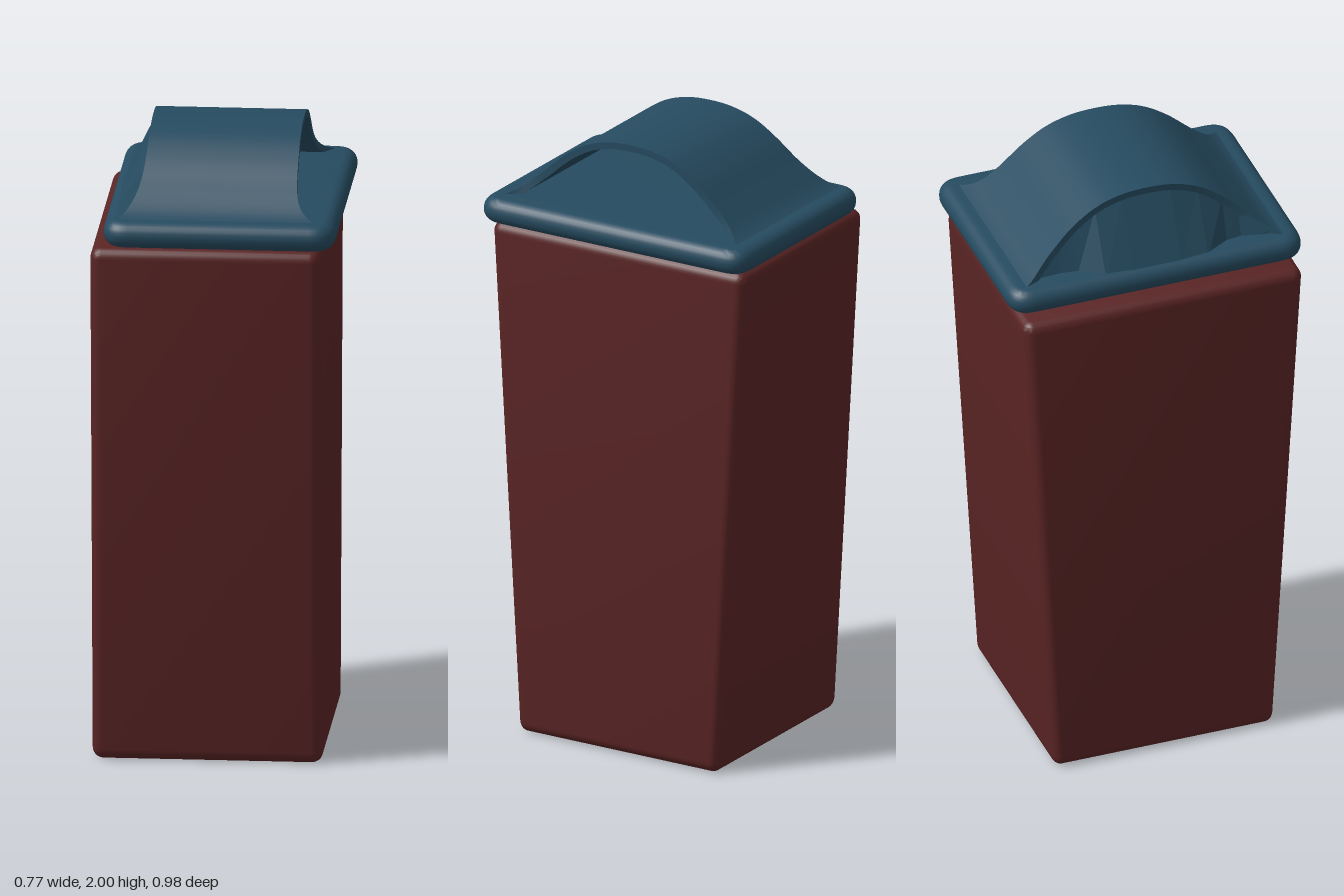
import * as THREE from 'three';
import { toCreasedNormals } from 'three/addons/utils/BufferGeometryUtils.js';
import { RoundedBoxGeometry } from 'three/addons/geometries/RoundedBoxGeometry.js';

const red = new THREE.MeshStandardMaterial({ color: 0x5a2424 });
red.name = 'dark red plastic';
const teal = new THREE.MeshStandardMaterial({ color: 0x264b60, side: THREE.DoubleSide });
teal.name = 'dark teal plastic';

function add(group, name, geometry, material) {
  const mesh = new THREE.Mesh(geometry, material);
  mesh.name = name;
  group.add(mesh);
  return mesh;
}

// Quads between successive cross-sections (arrays of Vector3)
function loft(rows, closed) {
  const n = rows[0].length;
  const index = [];
  for (let i = 0; i < rows.length - 1; i++) {
    for (let k = 0; k < (closed ? n : n - 1); k++) {
      const a = i * n + k, b = i * n + (k + 1) % n;
      const d = a + n, c = b + n;
      index.push(a, d, c, a, c, b);
    }
  }
  const g = new THREE.BufferGeometry().setFromPoints(rows.flat());
  g.setIndex(index);
  return g;
}

// Bin: rounded box that tapers in depth towards the floor
function bodyGeometry() {
  const h = 1.682;
  const g = new RoundedBoxGeometry(0.72, h, 0.93, 4, 0.035);
  g.translate(-0.025, h / 2, 0);
  const p = g.attributes.position;
  for (let i = 0; i < p.count; i++) {
    p.setZ(i, p.getZ(i) * (0.785 + 0.215 * p.getY(i) / h));
  }
  return toCreasedNormals(g, 0.6);
}

// Lid rim: rounded frame with an opening under the hood
function rimGeometry() {
  const x0 = -0.345, x1 = 0.382, z = 0.488, r = 0.08;
  const s = new THREE.Shape();
  s.moveTo(x0 + r, -z);
  s.lineTo(x1 - r, -z);
  s.quadraticCurveTo(x1, -z, x1, -z + r);
  s.lineTo(x1, z - r);
  s.quadraticCurveTo(x1, z, x1 - r, z);
  s.lineTo(x0 + r, z);
  s.quadraticCurveTo(x0, z, x0, z - r);
  s.lineTo(x0, -z + r);
  s.quadraticCurveTo(x0, -z, x0 + r, -z);
  const hole = new THREE.Path();
  hole.moveTo(-0.22, -0.33);
  hole.lineTo(0.22, -0.33);
  hole.quadraticCurveTo(0.33, 0, 0.22, 0.33);
  hole.lineTo(-0.22, 0.33);
  hole.quadraticCurveTo(-0.33, 0, -0.22, -0.33);
  s.holes.push(hole);
  const b = 0.04;
  const g = new THREE.ExtrudeGeometry(s, {
    depth: 0.004, bevelThickness: b, bevelSize: b, bevelOffset: -b, bevelSegments: 6, curveSegments: 10,
  });
  g.rotateX(Math.PI / 2);
  g.translate(0, 1.732, 0);
  return toCreasedNormals(g, 0.7);
}

// Bell-shaped hood profile in the zy plane
const half = [[0.45, 1.762], [0.4, 1.785], [0.32, 1.85], [0.24, 1.92], [0.16, 1.97], [0.08, 1.994]];
const profile = new THREE.CatmullRomCurve3([
  ...half.map(([z, y]) => new THREE.Vector3(0, y, -z)),
  new THREE.Vector3(0, 2, 0),
  ...half.map(([z, y]) => new THREE.Vector3(0, y, z)).reverse(),
]);

// Hood ends flare out where they run into the rim
const leftEnd = (y) => -0.22 - 0.09 * Math.exp(-(y - 1.762) / 0.06);
const rightEnd = (y) => 0.25 + 0.09 * Math.exp(-(y - 1.762) / 0.025);

function hoodGeometry() {
  const rows = [];
  const n = 64, thick = 0.022;
  for (let i = 0; i <= n; i++) {
    const p = profile.getPointAt(i / n), t = profile.getTangentAt(i / n);
    const iy = p.y - t.z * thick, iz = p.z + t.y * thick;
    const l = leftEnd(p.y), r = rightEnd(p.y);
    rows.push([
      new THREE.Vector3(l, p.y, p.z), new THREE.Vector3(r, p.y, p.z),
      new THREE.Vector3(r, iy, iz), new THREE.Vector3(l, iy, iz),
    ]);
  }
  return toCreasedNormals(loft(rows, true), 0.6);
}

// Faceted sloping panel closing one end of the hood
function panelGeometry() {
  const curve = profile.getSpacedPoints(200);
  const heightAt = (z) => curve.reduce((a, b) => (Math.abs(b.z - z) < Math.abs(a.z - z) ? b : a)).y;
  const side = [[0.39, -0.27], [0.3, -0.265], [0.25, -0.272], [0.17, -0.318], [0.08, -0.325]];
  const stations = [...side.map(([z, x]) => [-z, x]), ...side.slice().reverse()];
  const rows = stations.map(([z, x]) => {
    const y = heightAt(z) - 0.012;
    return [new THREE.Vector3(x, 1.755, z), new THREE.Vector3(leftEnd(y) + 0.008, y, z)];
  });
  const g = loft(rows, false).toNonIndexed();
  g.computeVertexNormals();
  return g;
}

export function createModel() {
  const model = new THREE.Group();
  model.name = 'swingTopBin';
  add(model, 'binBody', bodyGeometry(), red);

  const lid = new THREE.Group();
  lid.name = 'lid';
  add(lid, 'lidRim', rimGeometry(), teal);
  add(lid, 'lidHood', hoodGeometry(), teal);
  add(lid, 'endPanel', panelGeometry(), teal);
  model.add(lid);
  return model;
}
